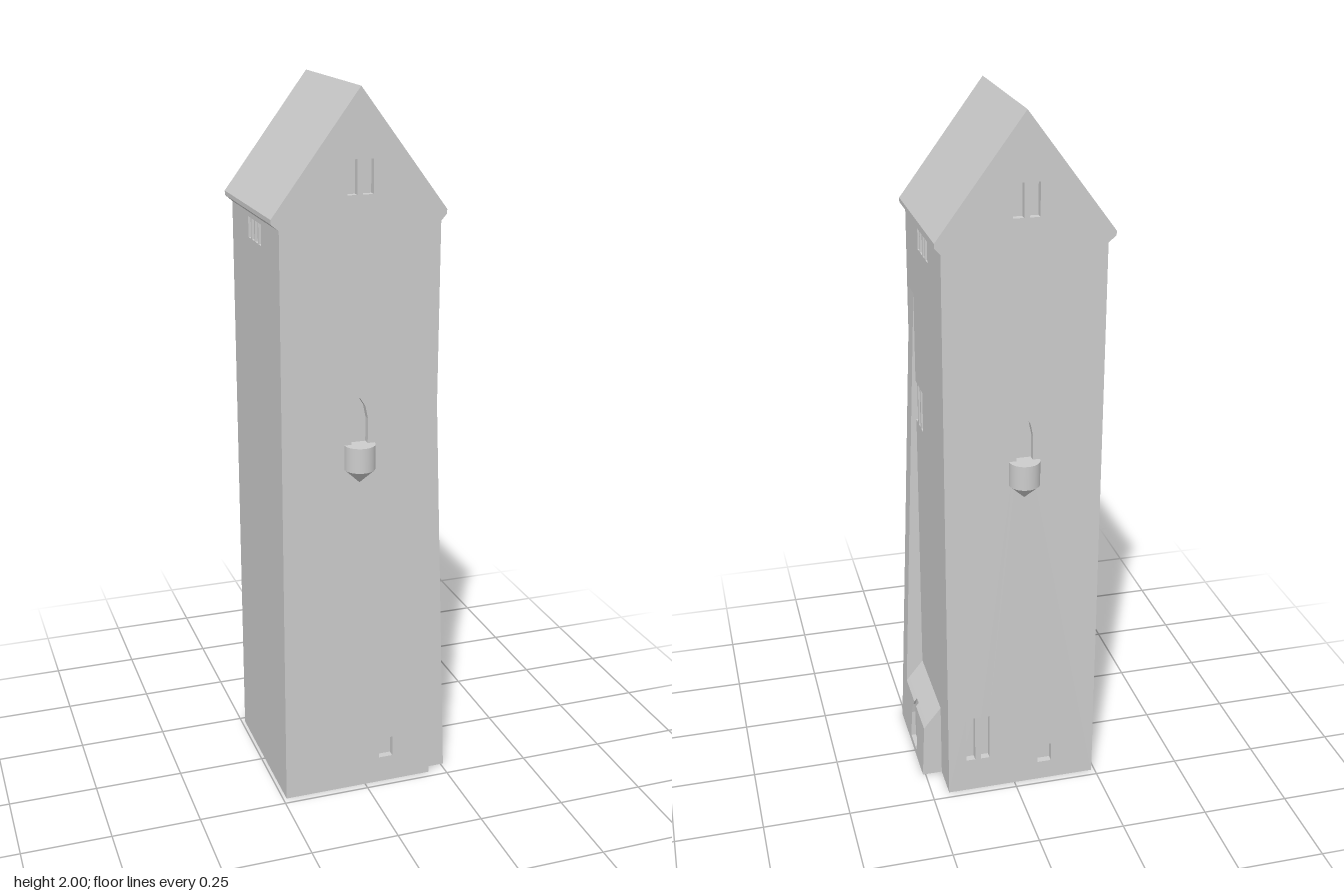
import * as THREE from 'three';

const X0 = -0.24, X1 = 0.2, Z = 0.228, EAVE = 1.65, DEPTH = 0.02, MID = -0.022;

export function createModel() {
  const model = new THREE.Group();
  model.name = 'gabledTower';
  const stone = new THREE.MeshStandardMaterial({ color: 0xcccccc });
  stone.name = 'grey stone';

  const add = (name, geometry, parent = model) => {
    const mesh = new THREE.Mesh(geometry, stone);
    mesh.name = name;
    parent.add(mesh);
    return mesh;
  };
  const outline = (pts) => new THREE.Shape(pts.map(([x, y]) => new THREE.Vector2(x, y)));
  const rect = (x0, x1, y0, y1) => [[x0, y0], [x1, y0], [x1, y1], [x0, y1]];
  const slab = (pts, depth, holes = []) => {
    const shape = outline(pts);
    holes.forEach((h) => shape.holes.push(outline(h)));
    return new THREE.ExtrudeGeometry(shape, { depth, bevelEnabled: false, curveSegments: 8 });
  };

  // Roof section with the small chamfered eaves
  const roofEdge = [[X1, EAVE], [0.216, 1.668], [0.216, 1.68], [MID, 2], [-0.261, 1.68], [-0.261, 1.668], [X0, EAVE]];
  const gable = [[X0, 0], [X1, 0], ...roofEdge];

  // Inner core closes the backs of all window recesses
  const core = add('towerCore', new THREE.BoxGeometry(X1 - X0 - 2 * DEPTH, EAVE, 2 * (Z - DEPTH)));
  core.position.set((X0 + X1) / 2, EAVE / 2, 0);
  add('roof', slab(roofEdge, 2 * (Z - DEPTH))).position.z = -(Z - DEPTH);

  // Gable walls with recessed openings
  const lancet = [[-0.045, 1.03], [0.001, 1.03], [0.001, 1.13], [-0.006, 1.165], [MID, 1.19], [-0.038, 1.165], [-0.045, 1.13]];
  const upperPair = [rect(-0.058, -0.031, 1.73, 1.82), rect(-0.016, 0.013, 1.73, 1.82)];
  add('frontWall', slab(gable, DEPTH, [...upperPair, lancet, rect(0.042, 0.084, 0.08, 0.142)]))
    .position.z = Z - DEPTH;
  add('backWall', slab(gable, DEPTH, [...upperPair, lancet,
    rect(0.12, 0.146, 0.105, 0.25), rect(0.077, 0.103, 0.105, 0.25), rect(-0.112, -0.07, 0.06, 0.12)]))
    .position.z = -Z;

  // Side walls, each with four small windows under the eaves
  const w = Z - DEPTH;
  const row = [-0.05, -0.017, 0.017, 0.05].map((c) => rect(c - 0.013, c + 0.013, 1.58, 1.637));
  const slits = [-0.128, -0.093, -0.057].map((c) => rect(c - 0.0125, c + 0.0125, 1.05, 1.17));
  for (const [name, side, holes] of [['leftWall', 1, [...row, ...slits]], ['rightWall', -1, row]]) {
    const wall = add(name, slab(rect(-w, w, 0, EAVE), DEPTH, holes));
    wall.rotation.y = side * Math.PI / 2;
    wall.position.x = side > 0 ? X1 - DEPTH : X0 + DEPTH;
  }

  // Half-round balconies on pointed corbels
  for (const side of [1, -1]) {
    const balcony = new THREE.Group();
    balcony.name = side > 0 ? 'frontBalcony' : 'backBalcony';
    balcony.position.set(MID, 0, side * Z);
    add('balconyDrum', new THREE.CylinderGeometry(0.043, 0.043, 0.07, 32), balcony).position.y = 1.025;
    add('balconyCorbel', new THREE.CylinderGeometry(0.043, 0, 0.04, 32), balcony).position.y = 0.97;
    model.add(balcony);
  }

  // Long tapering buttress
  const face = (y) => 0.258 - 0.058 * y / 1.43;
  add('buttress', slab([[X1, 0], [face(0), 0], [X1, 1.43]], 0.06)).position.z = 0.14;

  // Porch body with its sloping top
  add('porchBody', slab([[X1, 0], [0.243, 0], [0.243, 0.176], [X1, 0.23]], 0.265)).position.z = -0.125;

  // Porch face with the pointed door cut through to the slope
  const TOP = 0.176;
  const door = [[0.005, TOP], [0.018, 0.14], [0.027, 0.105], [0.027, 0.02],
    [-0.053, 0.02], [-0.053, 0.105], [-0.044, 0.14], [-0.02, TOP]];
  const front = slab([[-0.14, 0], [0.125, 0], [0.125, TOP], ...door, [-0.14, TOP]], 0.015);
  front.rotateY(Math.PI / 2).translate(0.243, 0, 0);
  const p = front.attributes.position;
  for (let i = 0; i < p.count; i++) {
    if (p.getX(i) < 0.25) continue;
    const y = p.getY(i) > TOP - 0.001 ? 0.165 : p.getY(i);
    p.setXYZ(i, face(y), y, p.getZ(i));
  }
  front.computeVertexNormals();
  add('porchFace', front);

  return model;
}
